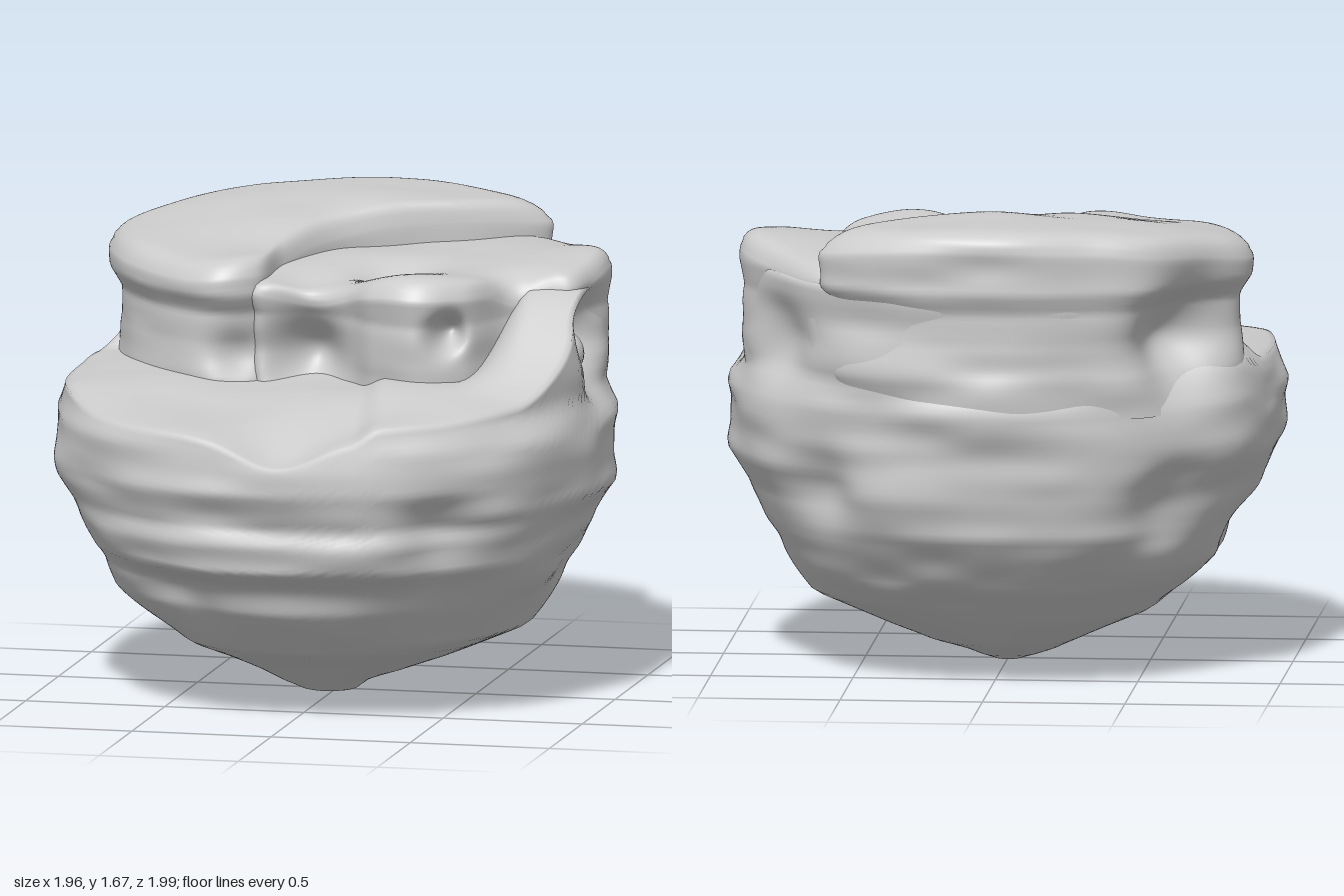
import * as THREE from 'three';

const { smoothstep: ss, lerp } = THREE.MathUtils;
const V = (x, y, z) => new THREE.Vector3(x, y, z);
const bump = (x, z, cx, cz, r) => Math.exp(-((x - cx) ** 2 + (z - cz) ** 2) / (r * r));

// Seeded value noise, -1..1
const hash = (x, y, z) => {
  const s = Math.sin(x * 127.1 + y * 311.7 + z * 74.7) * 43758.5453;
  return (s - Math.floor(s)) * 2 - 1;
};
function noise(x, y, z) {
  const [i, j, k] = [x, y, z].map(Math.floor);
  const [u, v, w] = [x - i, y - j, z - k].map((f) => f * f * (3 - 2 * f));
  const edge = (b, c) => lerp(hash(i, b, c), hash(i + 1, b, c), u);
  return lerp(lerp(edge(j, k), edge(j + 1, k), v), lerp(edge(j, k + 1), edge(j + 1, k + 1), v), w);
}
// Layered rock: features wide across, thin in height
const strata = (x, y, z) => noise(x * 2.2 + 9, y * 6 + 3, z * 2.2 + 5) * 0.7 + noise(x * 4 + 2, y * 13, z * 4 + 7) * 0.3;

// Piecewise profile of [height, value]
function sample(table, y) {
  for (let i = 1; i < table.length; i++) {
    const [y0, r0] = table[i - 1], [y1, r1] = table[i];
    if (y <= y1) return lerp(r0, r1, Math.max(0, (y - y0) / (y1 - y0)));
  }
  return table[table.length - 1][1];
}

// Closed rings from bottom to top centre; each dent is [centre, radius, push]
function loft(rows, cols, at, dents) {
  const pos = [], idx = [];
  for (let i = 0; i <= rows; i++) {
    for (let j = 0; j < cols; j++) {
      const p = at(i, j), move = V(0, 0, 0);
      for (const [c, r, push] of dents) {
        move.addScaledVector(push, Math.exp(-p.distanceToSquared(c) / (r * r)));
      }
      p.add(move);
      pos.push(p.x, p.y, p.z);
      if (i === rows) continue;
      const a = i * cols + j, b = i * cols + ((j + 1) % cols);
      idx.push(a, a + cols, b, b, a + cols, b + cols);
    }
  }
  const g = new THREE.BufferGeometry();
  g.setAttribute('position', new THREE.Float32BufferAttribute(pos, 3));
  g.setIndex(idx);
  g.computeVertexNormals();
  return g;
}

// Radius by height on the four sides of the boulder
const east = [[0, 0.04], [0.06, 0.13], [0.1, 0.28], [0.15, 0.42], [0.26, 0.68], [0.5, 0.84], [0.65, 0.9], [0.76, 0.97], [1, 0.98], [1.1, 0.93], [1.2, 0.94], [1.35, 0.91], [1.5, 0.93]];
const west = [[0, 0.04], [0.05, 0.18], [0.1, 0.27], [0.2, 0.52], [0.4, 0.75], [0.6, 0.85], [0.8, 0.95], [1, 0.98], [1.12, 0.94], [1.2, 0.86], [1.35, 0.83], [1.45, 0.88]];
const south = [[0, 0.04], [0.02, 0.18], [0.06, 0.26], [0.15, 0.43], [0.22, 0.6], [0.39, 0.78], [0.5, 0.86], [0.56, 0.95], [0.66, 0.97], [0.72, 0.95], [0.85, 1.01], [1, 0.99], [1.1, 0.96]];
const north = [[0, 0.04], [0.03, 0.16], [0.1, 0.38], [0.2, 0.54], [0.34, 0.73], [0.55, 0.87], [0.8, 0.92], [1, 0.95], [1.1, 0.92], [1.3, 0.92], [1.45, 0.96]];

// Side cave and back recess cut through every layer they meet
const sideCave = [V(0.93, 1.25, -0.03), 0.13, V(-0.2, 0, 0)];
const backRecess = [V(-0.66, 1.23, -0.66), 0.18, V(0.13, 0, 0.13)];
const backFold = [V(0.76, 1.2, -0.6), 0.14, V(-0.05, 0, 0.04)];

// Heights of the three top surfaces; the lowest climbs a ramp on one side and a bank at the back
const terrace = (x, z) => 1.07 + 0.06 * ss(-z, -0.85, -0.35) + 0.04 * ss(x, 0.1 + 0.18 * z, 0.2 + 0.18 * z)
  - 0.1 * bump(x, z, 0.02, 0.98, 0.2) - 0.03 * bump(x, z, -0.25, 0.55, 0.25);
const lowTop = (x, z) => lerp(
  terrace(x, z), 1.46, Math.max(ss(x, 0.5, 0.72) * (1 - ss(z, 0, 0.55)), ss(-z, 0.25, 0.45)),
) + 0.012 * noise(x * 4, 1, z * 4);
const midTop = (x, z) => 1.5 + 0.04 * bump(x, z, 0.32, 0.33, 0.2) + 0.05 * bump(x, z, 0.85, -0.3, 0.3)
  - 0.06 * bump(x, z, -0.05, 0.2, 0.18) - 0.06 * bump(x, z, 0.2, -0.02, 0.13) - 0.05 * bump(x, z, 0.68, 0.1, 0.1)
  + 0.012 * noise(x * 4, 5, z * 4);
const highTop = (x, z) => 1.55 + 0.1 * ss(-z, -0.25, 0.65) * Math.exp(-((x / 0.75) ** 4))
  + 0.02 * bump(x, z, 0, -0.75, 0.3) + 0.012 * noise(x * 4, 8, z * 4);

// Round lower boulder with the front terrace and ramp as its lid
function boulderGeometry() {
  const wall = 80, lid = 40, cols = 230;
  const radius = (a, y) => {
    const c = Math.cos(a), s = Math.sin(a);
    const r = c * c * sample(c > 0 ? east : west, y) + s * s * sample(s > 0 ? south : north, y);
    const n = strata(c, y, s) * 0.035 * ss(y, 0.05, 0.4);
    return r * (1 + 0.035 * Math.sin(2 * a) ** 2) + n;
  };
  return loft(wall + lid, cols, (i, j) => {
    const a = (j / cols) * Math.PI * 2, c = Math.cos(a), s = Math.sin(a);
    const rim = lowTop(0.94 * c, 0.94 * s) - 0.02;
    if (i <= wall) {
      const y = rim * (i / wall) ** 1.5, r = i ? radius(a, y) : 0;
      return V(c * r, y, s * r);
    }
    const k = 1 - (i - wall) / lid, r = radius(a, rim) * k;
    return V(c * r, lerp(lowTop(c * r, s * r), rim, k ** 14), s * r);
  }, [
    sideCave, backRecess, backFold,
    [V(-0.4, 0.5, 0.72), 0.15, V(0.03, 0, -0.06)],
    [V(0.55, 0.7, 0.78), 0.14, V(-0.05, 0, -0.07)],
    [V(0.6, 0.72, -0.7), 0.14, V(-0.06, 0, 0.06)],
    [V(-0.6, 0.65, -0.65), 0.15, V(0.05, 0, 0.05)],
    [V(-0.86, 0.6, 0.2), 0.12, V(0.06, 0, 0)],
  ]);
}

// Upper ledge: closed [x, z] outline, walls with undercuts, uneven lid
function ledgeGeometry(outline, [cx, cz], top, undercut, dents) {
  const wall = 38, lid = 34, cols = 260;
  const curve = new THREE.CatmullRomCurve3(outline.map(([x, z]) => V(x, 0, z)), true);
  const ring = curve.getSpacedPoints(cols);
  return loft(wall + lid, cols, (i, j) => {
    const p = ring[j], t = Math.min(1, i / wall);
    const k = i <= wall ? 1 : 1 - (i - wall) / lid;
    const rim = top(p.x, p.z) - 0.035, wallY = lerp(0.98, rim, t);
    const n = strata(p.x, wallY, p.z) * 0.035;
    const scale = k * (1 - sample(undercut, wallY) + n - 0.03 * ss(t, 0.93, 1));
    const x = cx + (p.x - cx) * scale, z = cz + (p.z - cz) * scale;
    return V(x, i <= wall ? wallY : lerp(top(x, z), rim, k ** 20), z);
  }, dents);
}

export function createModel() {
  const group = new THREE.Group();
  const material = new THREE.MeshStandardMaterial({ color: 0xcccccc });
  const add = (name, geometry) => {
    const mesh = new THREE.Mesh(geometry, material);
    mesh.name = name;
    group.add(mesh);
    return mesh;
  };

  add('boulder', boulderGeometry());

  // Highest ledge at the back
  add('highLedge', ledgeGeometry(
    [[0.6, -0.78], [0.42, -0.61], [0.15, -0.46], [-0.06, -0.3], [-0.19, -0.02], [-0.23, 0.24], [-0.36, 0.31],
      [-0.58, 0.2], [-0.79, -0.03], [-0.89, -0.4], [-0.77, -0.62], [-0.6, -0.83], [-0.35, -0.92], [-0.05, -0.99], [0.35, -0.93]],
    [-0.35, -0.4], highTop,
    [[0.98, 0.08], [1.12, 0.05], [1.25, 0.08], [1.36, 0.08], [1.43, 0.01], [1.7, 0]],
    [
      backRecess,
      [V(-0.3, 1.2, 0.26), 0.1, V(0, 0, -0.06)],
    ],
  ));

  // Middle ledge above the ramp, with small caves in its front
  add('middleLedge', ledgeGeometry(
    [[0.92, -0.1], [0.88, 0.03], [0.76, 0.06], [0.65, 0.12], [0.53, 0.33], [0.38, 0.43],
      [0.2, 0.37], [0.08, 0.27], [-0.08, 0.24], [-0.26, 0.26], [-0.32, 0], [-0.15, -0.45], [0.25, -0.75],
      [0.59, -0.78], [0.8, -0.54], [0.92, -0.34]],
    [0.45, -0.2], midTop,
    [[0.98, 0.05], [1.1, 0.06], [1.2, 0.05], [1.36, 0.06], [1.45, 0.01], [1.7, 0]],
    [
      sideCave, backFold,
      [V(-0.07, 1.21, 0.24), 0.13, V(0.02, 0, -0.17)],
      [V(0.48, 1.33, 0.36), 0.06, V(-0.02, 0, -0.14)],
    ],
  ));

  // Rounded stone sitting in the side cave
  add('caveStone', new THREE.SphereGeometry(0.085, 24, 16)).position.set(0.8, 1.22, -0.01);

  return group;
}
